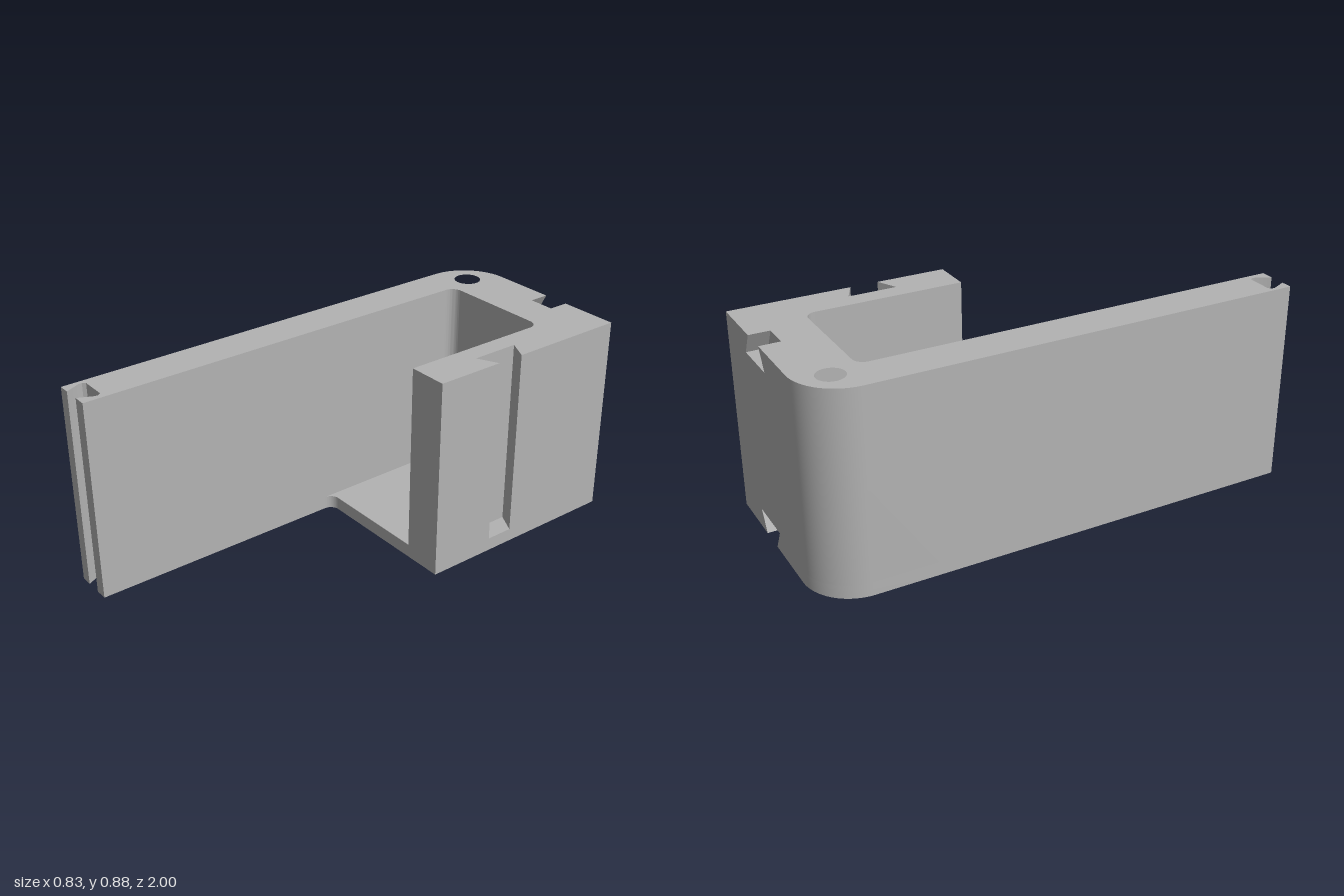
import * as THREE from 'three';
import { toCreasedNormals } from 'three/addons/utils/BufferGeometryUtils.js';

const BOTTOM = 0.045, FLOOR = 0.1, TOP = 0.88;
const PI = Math.PI;

export function createModel() {
  const group = new THREE.Group();
  const grey = new THREE.MeshStandardMaterial({ color: 0xb3b3b3 });
  grey.name = 'plain grey';

  const add = (name, geometry) => {
    const mesh = new THREE.Mesh(toCreasedNormals(geometry, 0.5), grey);
    mesh.name = name;
    group.add(mesh);
    return mesh;
  };
  const lines = (shape, points) => points.forEach(([x, y]) => shape.lineTo(x, y));
  const extrude = (shape, depth) =>
    new THREE.ExtrudeGeometry(shape, { depth, bevelEnabled: false, curveSegments: 16 });
  // Plan shapes are drawn in (x, z) and raised between two heights
  const raise = (shape, y0, y1) => extrude(shape, y1 - y0).rotateX(PI / 2).translate(0, y1, 0);

  // Shared plan: long side wall with a keyed slot in its end, and rounded back corner
  const plan = (drawInside) => {
    const s = new THREE.Shape();
    s.moveTo(-0.415, 1);
    lines(s, [[-0.368, 1], [-0.397, 0.938], [-0.397, 0.925], [-0.387, 0.913],
      [-0.283, 0.913], [-0.273, 0.925], [-0.273, 0.938], [-0.302, 1], [-0.25, 1]]);
    drawInside(s);
    lines(s, [[0.415, -0.915], [-0.2, -0.915], [-0.2, -1], [-0.215, -1]]);
    s.absarc(-0.215, -0.8, 0.2, 1.5 * PI, PI, true);
    s.closePath();
    return s;
  };

  // Floor slab, filleted where it meets the long wall
  const floor = plan((s) => {
    s.absarc(-0.21, -0.06, 0.04, PI, 1.5 * PI, false);
    s.lineTo(0.415, -0.1);
  });
  add('floor', raise(floor, BOTTOM, FLOOR));

  // Walls around the open bay, with a dovetail groove in the short wall
  const walls = plan((s) => {
    s.absarc(-0.205, -0.71, 0.045, PI, 1.5 * PI, false);
    s.absarc(0.205, -0.71, 0.045, 1.5 * PI, 2 * PI, false);
    lines(s, [[0.25, -0.1], [0.415, -0.1], [0.415, -0.385],
      [0.33, -0.343], [0.33, -0.543], [0.415, -0.5]]);
  });
  const hole = new THREE.Path();
  hole.absarc(-0.285, -0.865, 0.055, 0, 2 * PI, true);
  walls.holes.push(hole);
  add('walls', raise(walls, FLOOR, TOP));

  // Bottom of the blind peg hole
  const plug = add('pegHoleBottom', new THREE.CylinderGeometry(0.055, 0.055, 0.72, 32));
  plug.position.set(-0.285, FLOOR + 0.36, -0.865);

  // Back skin with dovetail notches at its top and bottom edges
  const back = new THREE.Shape();
  back.moveTo(-0.2, BOTTOM);
  lines(back, [[0.055, BOTTOM], [0.01, BOTTOM + 0.085], [0.21, BOTTOM + 0.085], [0.165, BOTTOM],
    [0.415, BOTTOM], [0.415, TOP], [0.165, TOP], [0.21, TOP - 0.085], [0.01, TOP - 0.085],
    [0.055, TOP], [-0.2, TOP]]);
  back.closePath();
  add('backFace', extrude(back, 0.085).translate(0, 0, -1));

  // Chamfered locating peg underneath
  const profile = [[0, 0], [0.034, 0], [0.042, 0.009], [0.042, BOTTOM]]
    .map(([r, y]) => new THREE.Vector2(r, y));
  add('peg', new THREE.LatheGeometry(profile, 32)).position.set(-0.285, 0, -0.865);

  return group;
}
